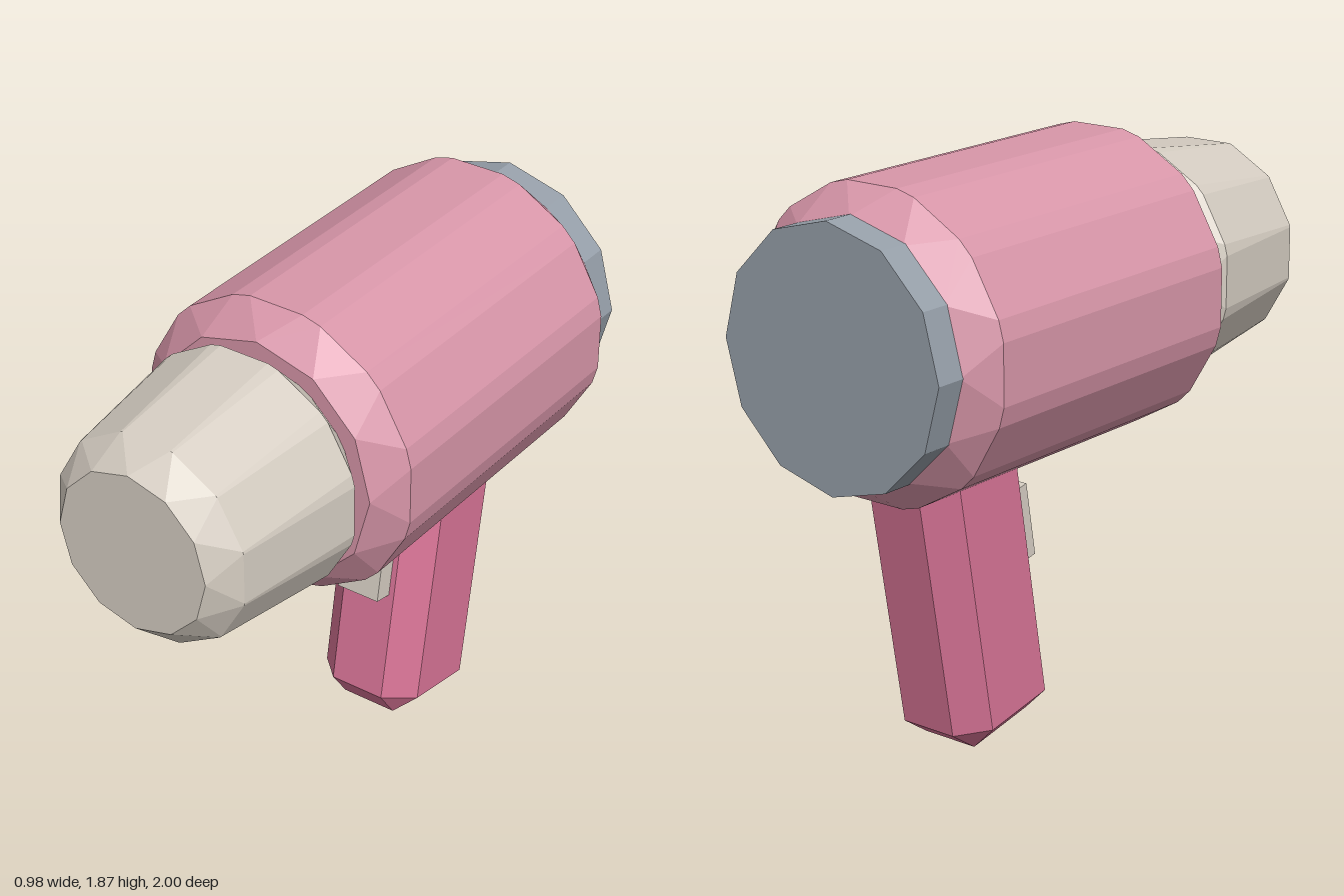
import * as THREE from 'three';
import { ConvexGeometry } from 'three/addons/geometries/ConvexGeometry.js';

const material = (name, color) => {
  const m = new THREE.MeshStandardMaterial({ color });
  m.name = name;
  return m;
};

// Regular polygon with one corner pointing up
const polygon = (n, r) => Array.from({ length: n }, (_, i) => {
  const a = (i / n) * Math.PI * 2;
  return new THREE.Vector2(Math.sin(a) * r, Math.cos(a) * r);
});

// Prism along z between two polygons, with every edge chamfered by b
function chamferedPrism(back, front, zBack, zFront, b) {
  const points = [];
  for (const [poly, z, inward] of [[back, zBack, b], [front, zFront, -b]]) {
    poly.forEach((p, i) => {
      const n = poly.length;
      const d1 = poly[(i + 1) % n].clone().sub(p).normalize();
      const d2 = poly[(i + n - 1) % n].clone().sub(p).normalize();
      for (const d of [d1, d2]) {
        points.push(new THREE.Vector3(p.x + d.x * b, p.y + d.y * b, z + inward));
      }
      const k = b / Math.abs(d1.cross(d2));
      points.push(new THREE.Vector3(p.x + (d1.x + d2.x) * k, p.y + (d1.y + d2.y) * k, z));
    });
  }
  return new ConvexGeometry(points);
}

export function createModel() {
  const group = new THREE.Group();
  const pink = material('dusty pink', 0xd896a9);
  const rose = material('rose', 0xd87496);
  const cream = material('warm cream', 0xd5cdc2);
  const grey = material('cool grey', 0x969fa9);
  const axisY = 1.39;
  const tilt = -Math.PI / 18;

  const add = (name, geometry, mat, x, y, z, rotX = 0) => {
    const mesh = new THREE.Mesh(geometry, mat);
    mesh.name = name;
    mesh.position.set(x, y, z);
    mesh.rotation.x = rotX;
    group.add(mesh);
  };

  // Barrel and tapering nozzle
  add('body', chamferedPrism(polygon(12, 0.516), polygon(12, 0.516), -0.9, 0.39, 0.1), pink, 0, axisY, 0);
  add('nozzle', chamferedPrism(polygon(12, 0.423), polygon(12, 0.363), 0.36, 1.0, 0.09), cream, 0, axisY, 0);

  // Flat twelve-sided cap at the back
  const cap = new THREE.CylinderGeometry(0.418, 0.418, 0.14, 12).toNonIndexed();
  cap.rotateX(Math.PI / 2);
  cap.computeVertexNormals();
  add('rearCap', cap, grey, 0, axisY, -0.93);

  // Leaning handle, its top end hidden in the barrel
  const section = [[-0.19, -0.225], [0.19, -0.225], [0.19, 0.225], [-0.19, 0.225]]
    .map(([x, y]) => new THREE.Vector2(x, y));
  const handle = chamferedPrism(section, section, -1.1, 0, 0.09);
  handle.rotateX(Math.PI / 2);
  add('handle', handle, rose, 0, 0.032, -0.345, tilt);

  // Switch on the front of the handle
  add('trigger', new THREE.BoxGeometry(0.16, 0.255, 0.1), cream, 0, 0.677, -0.211, tilt);

  return group;
}
